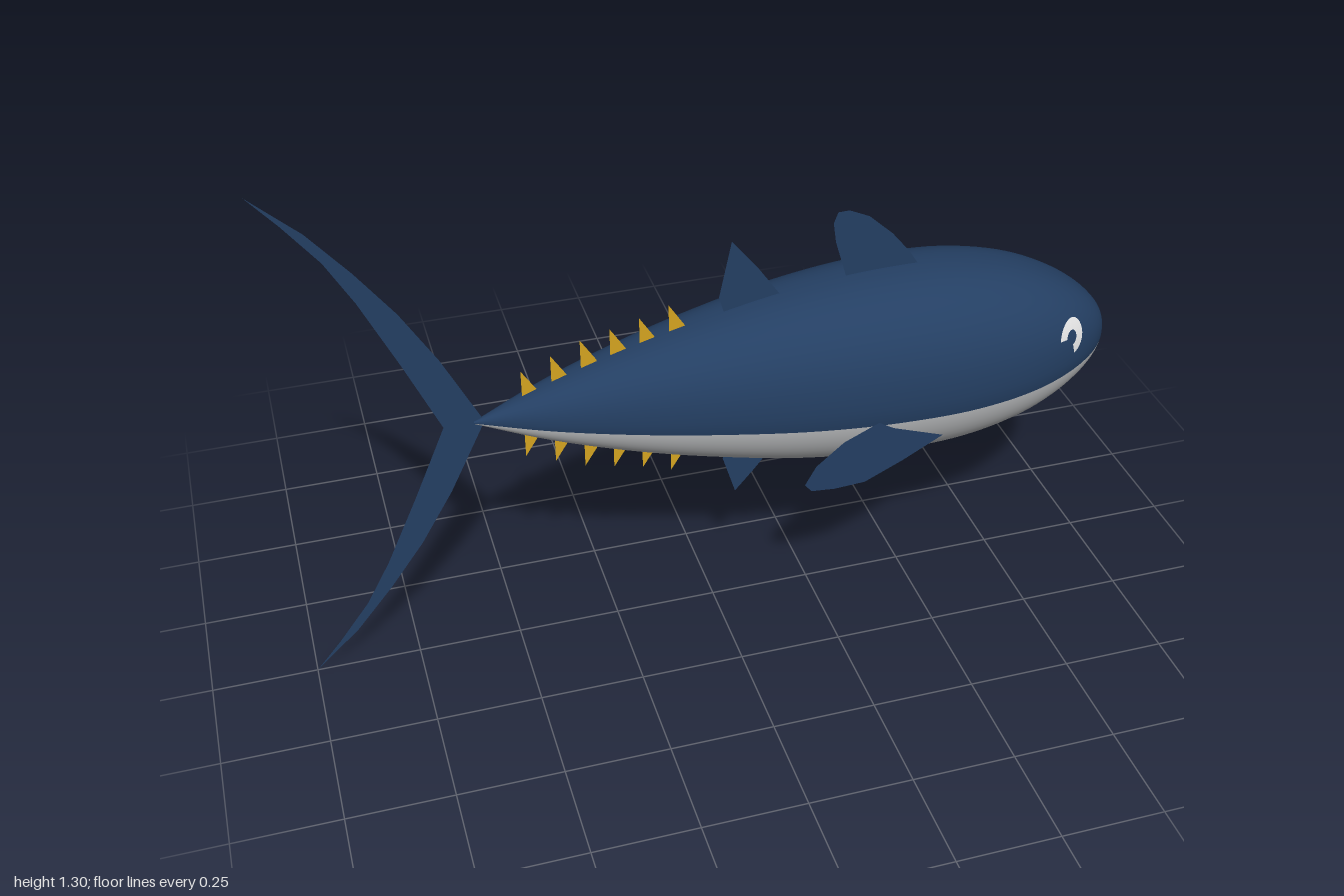
import * as THREE from 'three';

const CY = 0.657; // height of the body axis

const mat = (name, color) =>
  new THREE.MeshStandardMaterial({ name, color, side: THREE.DoubleSide });

// Body stations: x, half height, half width
const profile = new THREE.CatmullRomCurve3([
  [-0.57, 0.003, 0.003], [-0.4, 0.072, 0.062], [-0.2, 0.137, 0.115], [0, 0.187, 0.157],
  [0.2, 0.225, 0.19], [0.4, 0.243, 0.208], [0.6, 0.238, 0.208], [0.77, 0.2, 0.181],
  [0.9, 0.135, 0.128], [0.975, 0.066, 0.066], [1, 0, 0],
].map(p => new THREE.Vector3(...p)), false, 'centripetal');
const stations = profile.getPoints(70);

// The back is slightly squarer than the belly
const power = dy => (dy > 0 ? 2.3 : 2);

// Half width of the body surface at a given x and y
function bodyZ(x, y) {
  const i = Math.max(1, stations.findIndex(s => s.x >= x));
  const a = stations[i - 1], b = stations[i];
  const s = a.clone().lerp(b, (x - a.x) / (b.x - a.x));
  const n = power(y - CY);
  return s.z * Math.pow(Math.max(0, 1 - Math.pow(Math.abs(y - CY) / s.y, n)), 1 / n);
}

function bodyGeometry() {
  const backSteps = 36, bellySteps = 28, ring = backSteps + bellySteps;
  const seam = Math.asin(0.25); // the colour line lies a little below the axis
  const pos = [], back = [], belly = [];
  stations.forEach(s => {
    for (let j = 0; j < ring; j++) {
      const a = j < backSteps
        ? -seam + (Math.PI + 2 * seam) * j / backSteps
        : Math.PI + seam + (Math.PI - 2 * seam) * (j - backSteps) / bellySteps;
      const c = Math.cos(a), n = Math.sin(a), e = 2 / power(n);
      pos.push(s.x,
        CY + s.y * Math.sign(n) * Math.pow(Math.abs(n), e),
        s.z * Math.sign(c) * Math.pow(Math.abs(c), e));
    }
  });
  for (let i = 0; i < stations.length - 1; i++) {
    for (let j = 0; j < ring; j++) {
      const k = (j + 1) % ring;
      const a = i * ring + j, b = a + ring, c = (i + 1) * ring + k, d = i * ring + k;
      (j < backSteps ? back : belly).push(a, b, c, a, c, d);
    }
  }
  const g = new THREE.BufferGeometry();
  g.setAttribute('position', new THREE.Float32BufferAttribute(pos, 3));
  g.setIndex([...back, ...belly]);
  g.addGroup(0, back.length, 0);
  g.addGroup(back.length, belly.length, 1);
  g.computeVertexNormals();
  return g;
}

// Flat fin from an outline in x and y
const fin = points =>
  new THREE.ShapeGeometry(new THREE.Shape(points.map(p => new THREE.Vector2(...p))));

// Move each vertex to a depth given by a rule of x and y
function setDepth(g, rule) {
  const p = g.attributes.position;
  for (let i = 0; i < p.count; i++) p.setZ(i, rule(p.getX(i), p.getY(i)));
  g.computeVertexNormals();
  return g;
}

export function createModel() {
  const blue = mat('deep blue', 0x243f63);
  const pale = mat('pale belly', 0xc0c2c4);
  const gold = mat('finlet gold', 0xd4a420);
  const white = mat('eye white', 0xeeeeee);

  const model = new THREE.Group();
  const add = (name, geometry, material) => {
    const m = new THREE.Mesh(geometry, material);
    m.name = name;
    model.add(m);
    return m;
  };

  add('body', bodyGeometry(), [blue, pale]);

  // Crescent tail, both lobes in one outline
  const lead = [[-0.55, 0.01], [-0.635, 0.183], [-0.715, 0.318], [-0.8, 0.435], [-0.89, 0.545]];
  const trail = [[-1, 0.648], [-0.935, 0.57], [-0.86, 0.47], [-0.8, 0.36], [-0.72, 0.185]];
  const lobe = [...lead, ...trail];
  add('tailFin', fin([
    ...lobe.map(([x, y]) => [x, CY + y]),
    [-0.64, CY],
    ...lobe.map(([x, y]) => [x, CY - y]).reverse(),
  ]), blue);

  // Fins on the middle line, rooted inside the body
  add('frontDorsalFin', fin([
    [0.36, 0.8], [0.325, 0.89], [0.295, 0.99], [0.288, 1.04], [0.298, 1.067], [0.325, 1.068],
    [0.375, 1.045], [0.435, 0.99], [0.48, 0.935], [0.515, 0.88], [0.54, 0.8],
  ]), blue);
  add('rearDorsalFin', fin([
    [0.045, 0.78], [0.015, 0.89], [0.045, 1.032], [0.11, 0.95], [0.175, 0.855], [0.2, 0.78],
  ]), blue);
  add('analFin', fin([
    [0.06, 0.53], [0.025, 0.43], [0.057, 0.325], [0.105, 0.38], [0.16, 0.45], [0.19, 0.53],
  ]), blue);

  // Two rows of finlets towards the tail
  for (let i = 0; i < 6; i++) {
    const x = -0.455 + i * 0.07;
    const base = bodyZ.length && stations.find(s => s.x >= x).y;
    for (const side of [1, -1]) {
      add(side > 0 ? 'upperFinlet' : 'lowerFinlet', fin([
        [x, CY + side * (base + 0.066)],
        [x + 0.038, CY + side * (base + 0.006)],
        [x + 0.03, CY + side * (base - 0.02)],
        [x, CY + side * (base - 0.02)],
      ]), gold);
    }
  }

  for (const side of [1, -1]) {
    const label = side > 0 ? 'front' : 'back';

    // Pectoral fin, angled out towards the tail
    add(label + 'PectoralFin', setDepth(fin([
      [0.515, 0.53], [0.41, 0.488], [0.31, 0.455], [0.23, 0.46], [0.17, 0.472], [0.152, 0.495],
      [0.18, 0.54], [0.25, 0.588], [0.34, 0.617], [0.38, 0.59],
    ]), x => side * (0.261 - 0.14 * x)), blue);

    // Eye crescent laid on the skin
    const eye = new THREE.RingGeometry(0.42, 1, 28, 3, -1.3, 4.4);
    eye.scale(0.036, 0.044, 1).translate(0.848, 0.72, 0);
    add(label + 'Eye', setDepth(eye, (x, y) => side * (bodyZ(x, y) + 0.005)), white);
  }

  return model;
}
